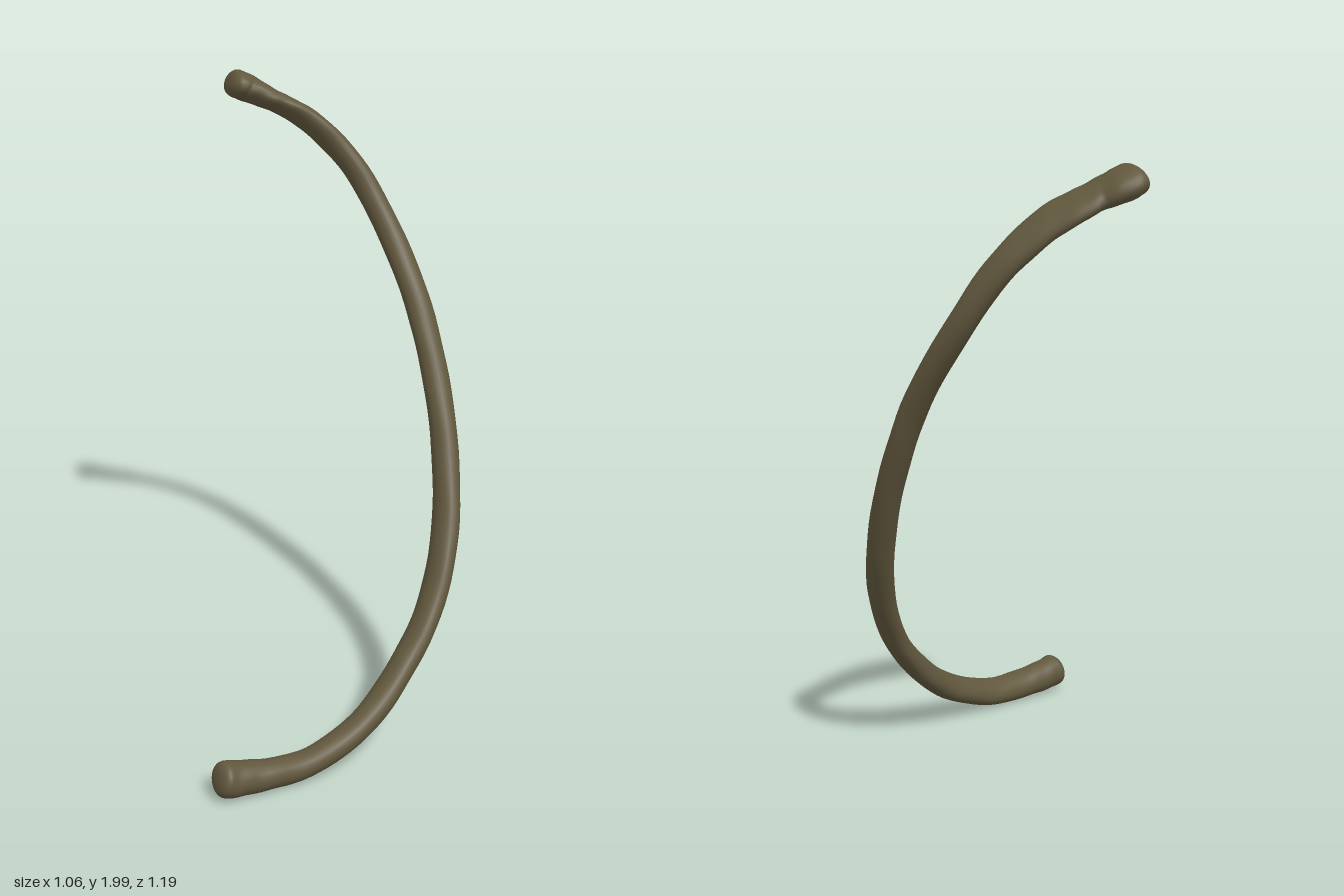
import * as THREE from 'three';

// Stations along the bone: centre x, y, z, then width, thickness, and tilt of the wide axis
const STATIONS = [
  [-0.53, 0.088, 0.535, 0.115, 0.115, 0.3],
  [-0.46, 0.074, 0.535, 0.11, 0.11, 0.35],
  [-0.36, 0.062, 0.537, 0.11, 0.095, 0.4],
  [-0.2, 0.066, 0.535, 0.11, 0.085, 0.45],
  [0, 0.142, 0.507, 0.115, 0.083, 0.5],
  [0.17, 0.27, 0.45, 0.12, 0.08, 0.52],
  [0.3, 0.425, 0.395, 0.122, 0.078, 0.52],
  [0.395, 0.62, 0.315, 0.118, 0.08, 0.52],
  [0.458, 0.85, 0.205, 0.1, 0.084, 0.55],
  [0.485, 1.1, 0.077, 0.085, 0.087, 0.55],
  [0.482, 1.3, -0.035, 0.083, 0.087, 0.55],
  [0.449, 1.54, -0.205, 0.09, 0.08, 0.55],
  [0.382, 1.71, -0.31, 0.102, 0.07, 0.5],
  [0.29, 1.825, -0.387, 0.125, 0.064, 0.35],
  [0.205, 1.887, -0.443, 0.15, 0.064, 0.15],
  [0.15, 1.916, -0.472, 0.145, 0.075, 0.1],
  [0.1, 1.944, -0.51, 0.168, 0.092, 0.12],
  [0.045, 1.967, -0.517, 0.165, 0.09, 0.12],
];
const RINGS = 160, SIDES = 24;

// Sweep an oval section along the curve, rounding off both ends
function sweepBone() {
  const path = new THREE.CatmullRomCurve3(STATIONS.map(s => new THREE.Vector3(s[0], s[1], s[2])));
  const size = new THREE.CatmullRomCurve3(STATIONS.map(s => new THREE.Vector3(s[3], s[4], s[5])), false, 'catmullrom', 0.5);
  const first = path.getPoint(0), last = path.getPoint(1);
  const pos = [], index = [];
  for (let i = 0; i <= RINGS; i++) {
    const u = (1 - Math.cos(Math.PI * i / RINGS)) / 2;
    const c = path.getPoint(u), d = size.getPoint(u), t = path.getTangent(u);
    // the knobbed head leans slightly across the shaft
    const lean = -0.22 * THREE.MathUtils.smoothstep(u, 0.86, 0.96);
    const wide = new THREE.Vector3(lean, d.z, 1);
    wide.addScaledVector(t, -wide.dot(t) * (1 - 0.6 * THREE.MathUtils.smoothstep(u, 0.86, 0.96))).normalize();
    const thin = new THREE.Vector3().crossVectors(t, wide).normalize();
    const near = Math.min(1, Math.min(c.distanceTo(first), c.distanceTo(last)) / 0.035);
    const round = Math.pow(Math.max(0, 1 - Math.pow(1 - near, 2.6)), 1 / 2.6);
    for (let j = 0; j < SIDES; j++) {
      const a = j / SIDES * Math.PI * 2;
      // faint unevenness of the bone surface
      const bump = 1 + 0.014 * Math.sin(u * 120 + 2 * a) + 0.012 * Math.sin(u * 67 - a);
      const p = c.clone()
        .addScaledVector(wide, Math.cos(a) * d.x / 2 * round * bump)
        .addScaledVector(thin, Math.sin(a) * d.y / 2 * round * bump);
      pos.push(p.x, p.y, p.z);
      if (i < RINGS) {
        const k = i * SIDES + j, n = i * SIDES + (j + 1) % SIDES;
        index.push(k, n, k + SIDES, n, n + SIDES, k + SIDES);
      }
    }
  }
  const g = new THREE.BufferGeometry();
  g.setAttribute('position', new THREE.Float32BufferAttribute(pos, 3));
  g.setIndex(index);
  g.computeVertexNormals();
  return g;
}

export function createModel() {
  const group = new THREE.Group();
  group.name = 'rib';
  const bone = new THREE.Mesh(sweepBone(), new THREE.MeshStandardMaterial({ color: 0x62583e }));
  bone.name = 'ribBone';
  group.add(bone);
  return group;
}
